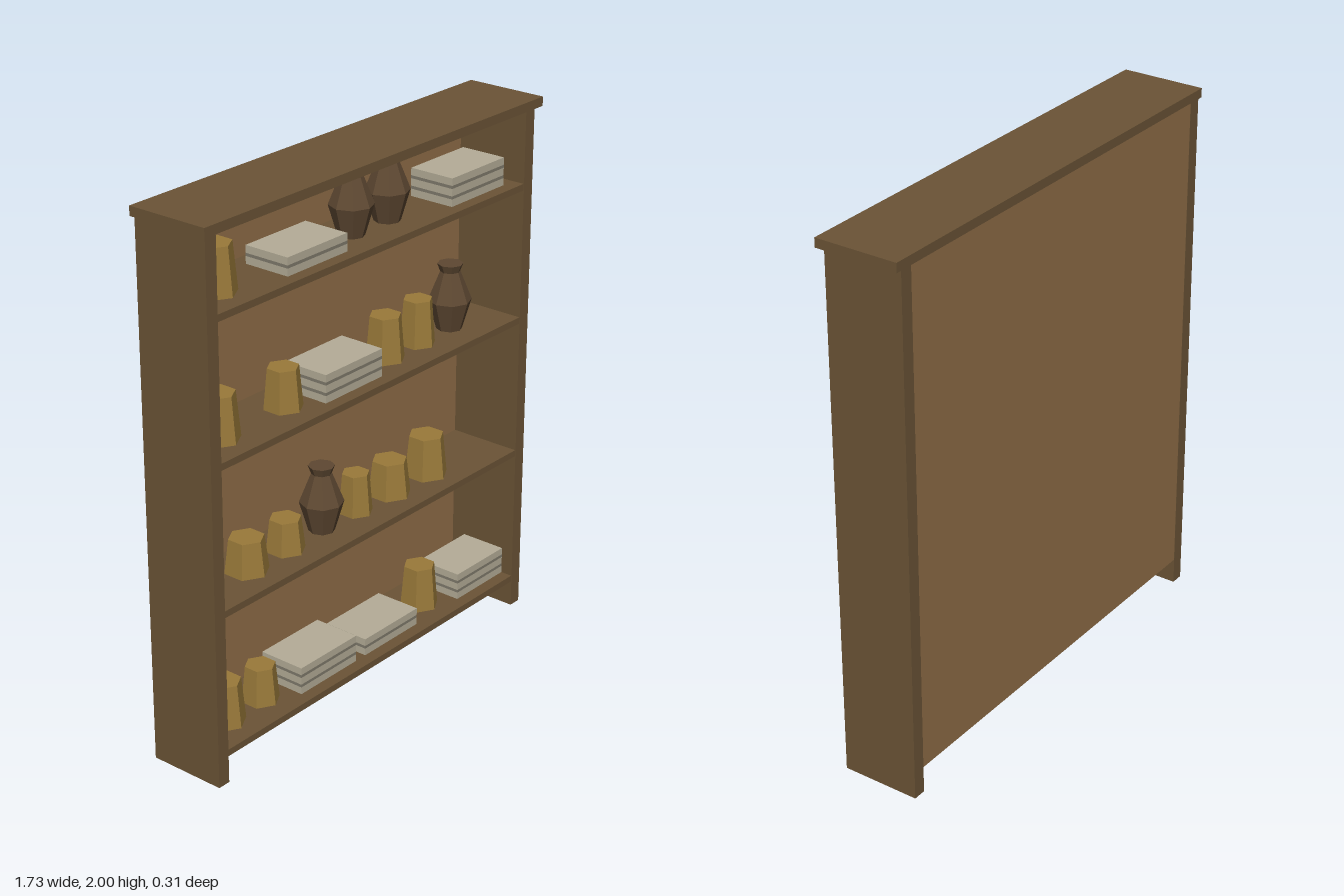
import * as THREE from 'three';

const mat = (name, color, flatShading = false) => {
  const m = new THREE.MeshStandardMaterial({ color, flatShading });
  m.name = name;
  return m;
};

export function createModel() {
  const wood = mat('darkWood', 0x6b5436);
  const panel = mat('backPanelWood', 0x906d47);
  const brass = mat('ochreClay', 0x9a7a3a, true);
  const clay = mat('brownClay', 0x5e4832, true);
  const linen = mat('paleLinen', 0xb5ad98);
  const fold = mat('greyFold', 0x807b6c);

  const model = new THREE.Group();
  model.name = 'shelfUnit';

  const add = (name, geometry, material, x, y, z, parent = model) => {
    const mesh = new THREE.Mesh(geometry, material);
    mesh.name = name;
    mesh.position.set(x, y, z);
    parent.add(mesh);
    return mesh;
  };
  // Box given by its limits on each axis
  const box = (name, material, x0, x1, y0, y1, z0, z1, parent) =>
    add(name, new THREE.BoxGeometry(x1 - x0, y1 - y0, z1 - z0), material,
      (x0 + x1) / 2, (y0 + y1) / 2, (z0 + z1) / 2, parent);

  // Carcass
  const inner = 0.796, outer = 0.845, back = -0.157, front = 0.138;
  box('topBoard', wood, -0.866, 0.866, 1.966, 2, back, 0.157);
  box('leftSide', wood, inner, outer, 0, 1.966, back, front);
  box('rightSide', wood, -outer, -inner, 0, 1.966, back, front);
  box('backPanel', panel, -inner, inner, 0.1, 1.966, back + 0.001, -0.145);

  // Six-sided tapered cup standing on a shelf
  const cup = (x, y, h, halfWidth) => {
    const r = halfWidth / Math.cos(Math.PI / 6);
    add('cup', new THREE.CylinderGeometry(r * 0.8, r, h, 6), brass, x, y + h / 2, 0);
  };

  // Eight-sided vase with a narrow neck
  const vaseProfile = [[0, 0], [0.047, 0], [0.079, 0.11], [0.036, 0.218], [0.047, 0.247], [0, 0.247]]
    .map(([r, y]) => new THREE.Vector2(r, y));
  const vase = (x, y) => add('vase', new THREE.LatheGeometry(vaseProfile, 8), clay, x, y, 0);

  // Pile of folded cloths with a darker fold between them
  const stack = (x, y, layers) => {
    const pile = new THREE.Group();
    pile.name = 'clothStack';
    const pitch = 0.038, thick = 0.027, w = 0.148, d = 0.09;
    for (let i = 0; i < layers; i++) {
      const y0 = y + i * pitch;
      box('cloth', linen, x - w, x + w, y0, y0 + thick, -d, d, pile);
      if (i < layers - 1) box('fold', fold, x - w, x + w, y0 + thick, y0 + pitch, -d, d, pile);
    }
    model.add(pile);
  };

  // Shelves and what stands on them: cups [x, height, half width], vases [x], stacks [x, layers]
  const shelves = [
    { y: 1.693, cups: [[-0.663, 0.168, 0.069]], vases: [0.01, 0.2], stacks: [[-0.267, 2], [0.59, 3]] },
    {
      y: 1.185,
      cups: [[-0.663, 0.165, 0.069], [-0.342, 0.148, 0.061], [0.193, 0.165, 0.063], [0.373, 0.17, 0.058]],
      vases: [0.557], stacks: [[-0.082, 3]],
    },
    {
      y: 0.653,
      cups: [[-0.537, 0.126, 0.069], [-0.34, 0.121, 0.062], [0.034, 0.152, 0.055],
        [0.222, 0.134, 0.07], [0.432, 0.157, 0.071]],
      vases: [-0.15], stacks: [],
    },
    {
      y: 0.125,
      cups: [[-0.666, 0.16, 0.068], [-0.48, 0.138, 0.06], [0.402, 0.165, 0.064]],
      vases: [], stacks: [[-0.22, 3], [0.128, 2], [0.668, 3]],
    },
  ];
  for (const s of shelves) {
    box('shelf', wood, -inner, inner, s.y - 0.025, s.y, -0.145, front - 0.002);
    s.cups.forEach(([x, h, w]) => cup(x, s.y, h, w));
    s.vases.forEach((x) => vase(x, s.y));
    s.stacks.forEach(([x, n]) => stack(x, s.y, n));
  }
  return model;
}
